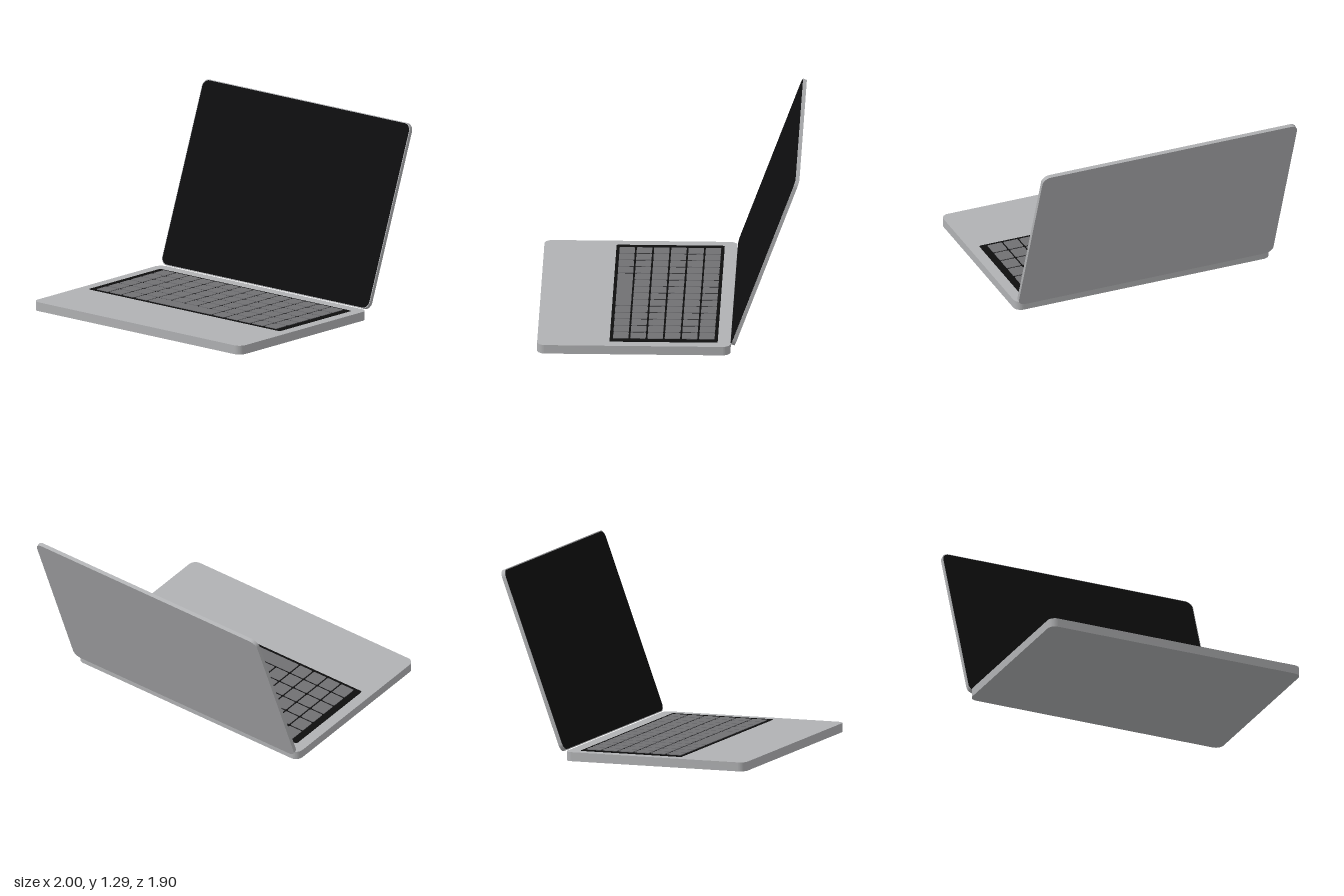
import * as THREE from 'three';
import { toCreasedNormals } from 'three/addons/utils/BufferGeometryUtils.js';

const W = 1.88, D = 1.313, BASE_H = 0.062;   // base footprint and thickness
const LID_L = 1.297, LID_T = 0.028;          // lid length and thickness
const PITCH = 0.117, KEY = 0.105;            // key spacing and size

const mat = (name, color) => {
  const m = new THREE.MeshStandardMaterial({ color });
  m.name = name;
  return m;
};

// Rounded rectangle extruded along +z, centred on x and y
function plate(w, h, depth, r, segments = 8) {
  const x = w / 2, y = h / 2, s = new THREE.Shape();
  s.moveTo(-x + r, -y);
  s.absarc(x - r, -y + r, r, -Math.PI / 2, 0);
  s.absarc(x - r, y - r, r, 0, Math.PI / 2);
  s.absarc(-x + r, y - r, r, Math.PI / 2, Math.PI);
  s.absarc(-x + r, -y + r, r, Math.PI, Math.PI * 1.5);
  const g = new THREE.ExtrudeGeometry(s, { depth, bevelEnabled: false, curveSegments: segments });
  return toCreasedNormals(g, 0.6);
}
// The same plate lying flat, rising from y = 0
const slab = (...args) => plate(...args).rotateX(-Math.PI / 2);

export function createModel() {
  const silver = mat('silver aluminium', 0xb0b1b3);
  const black = mat('black glass', 0x0d0d0e);
  const grey = mat('grey keys', 0x707073);

  const add = (parent, name, geometry, material, x, y, z) => {
    const m = new THREE.Mesh(geometry, material);
    m.name = name;
    m.position.set(x, y, z);
    parent.add(m);
    return m;
  };

  const model = new THREE.Group();
  model.name = 'laptop';
  const body = new THREE.Group();
  body.name = 'body';
  body.position.set(-0.02, 0, 0.232);
  body.rotation.y = -0.07;
  model.add(body);

  // Base
  add(body, 'base', slab(W, D, BASE_H, 0.055), silver, 0, 0, 0);

  // Keyboard: dark bed, six rows of fourteen, space bar in the last row
  const keyboard = new THREE.Group();
  keyboard.name = 'keyboard';
  keyboard.position.set(0, BASE_H, -0.202);
  body.add(keyboard);
  add(keyboard, 'keyBed', slab(1.73, 0.735, 0.002, 0.012, 3), black, 0, 0, 0);
  const keyGeo = slab(KEY, KEY, 0.004, 0.008, 2);
  for (let row = 0; row < 6; row++) {
    for (let col = 0; col < 14; col++) {
      if (row === 5 && col >= 4 && col <= 8) continue;
      add(keyboard, 'key', keyGeo, grey, (col - 6.5) * PITCH, 0.002, (row - 2.5) * PITCH);
    }
  }
  add(keyboard, 'spaceBar', slab(KEY + 4 * PITCH, KEY, 0.004, 0.008, 2), grey,
    -0.5 * PITCH, 0.002, 2.5 * PITCH);

  // Lid, leaning back from the rear edge of the base
  const lid = new THREE.Group();
  lid.name = 'lid';
  lid.position.set(0, 0.067, -D / 2);
  lid.rotation.x = -THREE.MathUtils.degToRad(20);
  body.add(lid);
  add(lid, 'lidShell', plate(W, LID_L, LID_T - 0.002, 0.055), silver, 0, LID_L / 2, -LID_T);
  add(lid, 'screen', plate(W - 0.012, LID_L - 0.012, 0.002, 0.05), black, 0, LID_L / 2, -0.002);

  return model;
}
